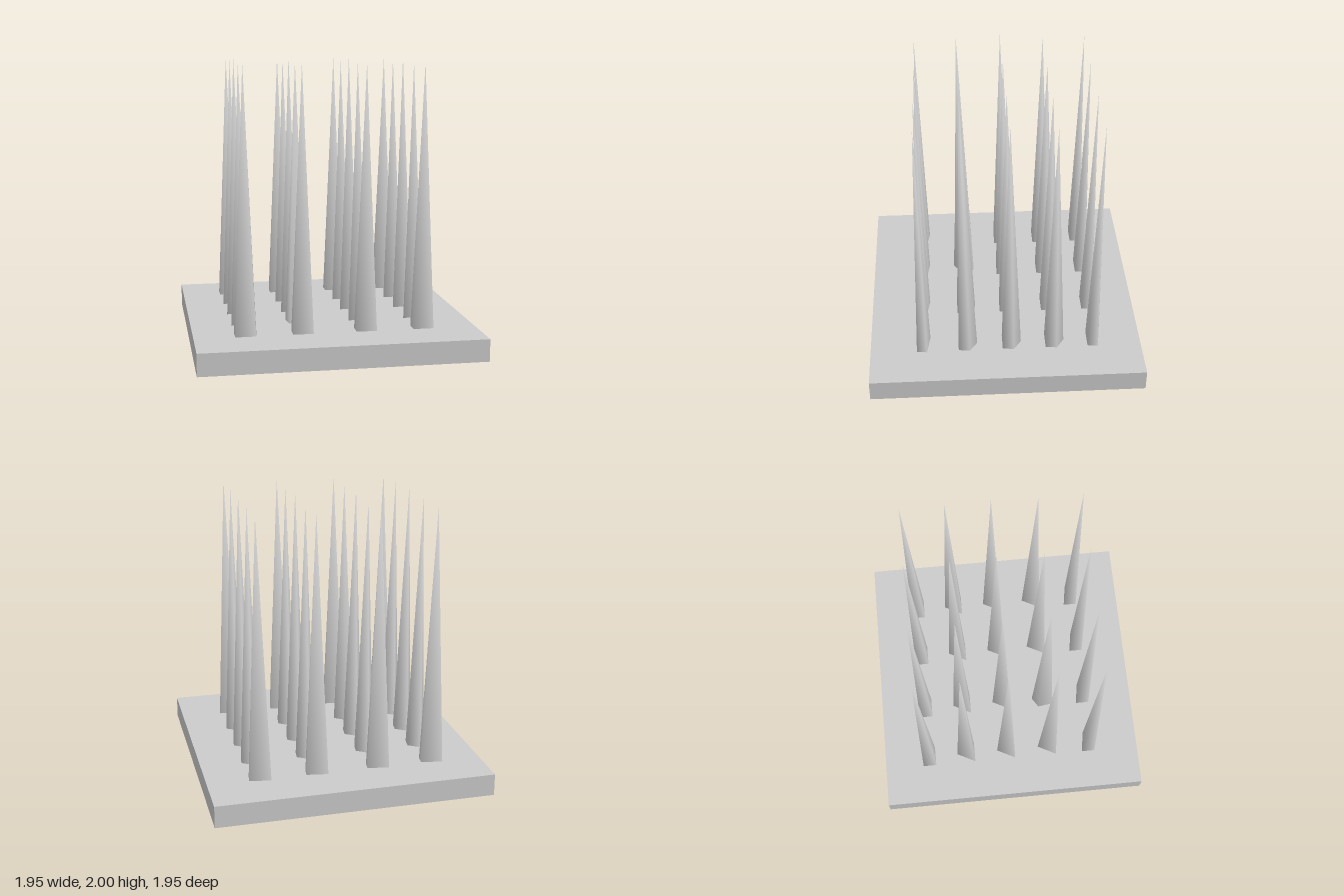
import * as THREE from 'three';

const material = new THREE.MeshStandardMaterial({ color: 0xcccccc, side: THREE.DoubleSide });
const PLATE_TOP = 0.155;

// Slender four-sided spike: base corners [x, z] relative to the tip, smooth-shaded sides
function spikeGeometry(corners, tipY) {
  const points = [];
  const index = [];
  corners.forEach(([x, z], i) => {
    points.push(x, PLATE_TOP, z);
    index.push((i + 1) % corners.length, i, corners.length);
  });
  points.push(0, tipY, 0);
  const geometry = new THREE.BufferGeometry();
  geometry.setAttribute('position', new THREE.Float32BufferAttribute(points, 3));
  geometry.setIndex(index);
  geometry.computeVertexNormals();
  return geometry;
}

// Base outlines: flat block, pointed kite and a turned kite
const BLOCK = [[-0.07, -0.05], [0.08, -0.025], [0.07, 0.048], [-0.07, 0.048]];
const KITE = [[0, -0.085], [0.08, -0.03], [0.07, 0.05], [-0.07, 0.05]];
const TURNED = [[-0.07, -0.04], [0, -0.085], [0.08, -0.025], [-0.055, 0.07]];

const COLUMNS = [-0.625, -0.232, 0.206, 0.606];
const ROWS = [
  { z: -0.637, outline: BLOCK, tip: 1.98 },
  { z: -0.335, outline: KITE, tip: 1.975 },
  { z: -0.025, outline: KITE, tip: 2 },
  { z: 0.292, outline: KITE, tip: 1.975 },
  { z: 0.595, outline: BLOCK, tip: 1.98 },
];

export function createModel() {
  const model = new THREE.Group();
  model.name = 'spikeBoard';

  // Square base plate
  const plate = new THREE.Mesh(new THREE.BoxGeometry(1.95, PLATE_TOP, 1.95), material);
  plate.name = 'basePlate';
  plate.position.y = PLATE_TOP / 2;
  model.add(plate);

  // Grid of spikes, one of them turned
  const spikes = new THREE.Group();
  spikes.name = 'spikes';
  ROWS.forEach(({ z, outline, tip }, r) => {
    COLUMNS.forEach((x, c) => {
      const turned = r === 3 && c === 1;
      const spike = new THREE.Mesh(spikeGeometry(turned ? TURNED : outline, tip), material);
      spike.name = `spikeRow${r + 1}Column${c + 1}`;
      spike.position.set(x, 0, turned ? z - 0.005 : z);
      spikes.add(spike);
    });
  });
  model.add(spikes);
  return model;
}
